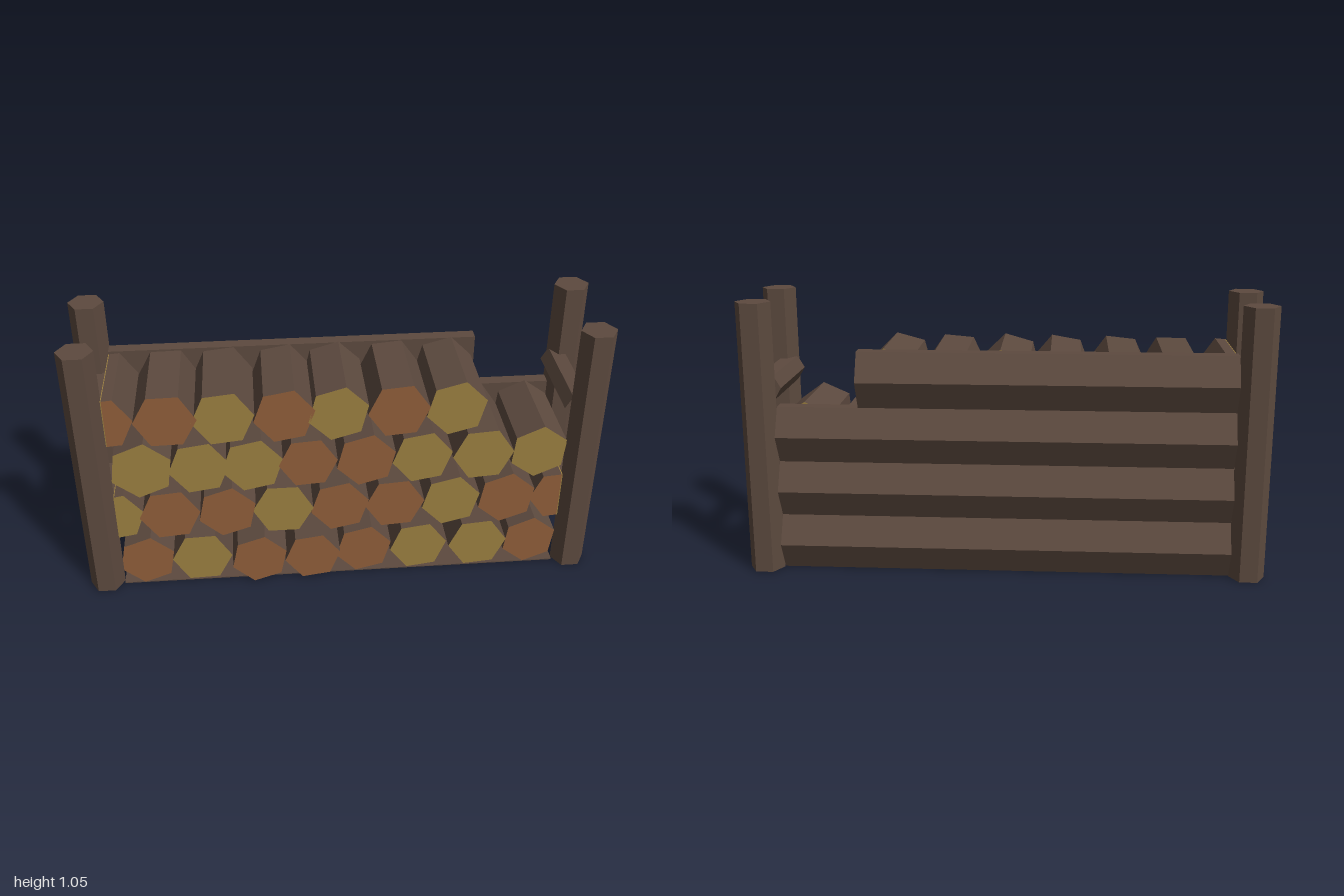
import * as THREE from 'three';

const mat = (name, color) => Object.assign(new THREE.MeshStandardMaterial({ color, flatShading: true }), { name });
const LIMIT = 0.862; // half width of the stack between the posts
const BACK = -0.135, FRONT = 0.21;

// Keeps the part of a polygon where sign * p[axis] <= limit
function clip(points, axis, sign, limit) {
  const out = [];
  points.forEach((a, i) => {
    const b = points[(i + 1) % points.length];
    const da = limit - sign * a[axis], db = limit - sign * b[axis];
    if (da >= 0) out.push(a);
    if (da * db < 0) out.push(a.clone().lerp(b, da / (da - db)));
  });
  return out;
}

export function createModel() {
  const bark = mat('bark', 0x5d4a3f);
  const brown = mat('brownWood', 0x905f3a);
  const yellow = mat('yellowWood', 0x9c8040);
  const group = new THREE.Group();
  const add = (name, geometry, material, x = 0, y = 0, z = 0, parent = group) => {
    const mesh = new THREE.Mesh(geometry, material);
    mesh.name = name;
    mesh.position.set(x, y, z);
    parent.add(mesh);
    return mesh;
  };

  // Hexagonal corner posts and the two rails on each side
  const postGeo = new THREE.CylinderGeometry(0.0675, 0.0675, 1.05, 6).rotateY(Math.PI / 2);
  const railGeo = new THREE.CylinderGeometry(0.055, 0.055, 0.38, 6).rotateY(Math.PI / 2).rotateX(Math.PI / 2);
  for (const s of [-1, 1]) {
    for (const t of [-1, 1]) add('post', postGeo, bark, s * 0.9325, 0.525, t * 0.191);
    for (const y of [0.303, 0.722]) add('rail', railGeo, bark, s * 0.899, y, 0);
  }

  // Long logs forming the back wall; the top one is shorter
  const wall = new THREE.Shape([[BACK, 0], [BACK, 0.216], [-0.185, 0.216], [-0.24, 0.108], [-0.185, 0]]
    .map(([z, y]) => new THREE.Vector2(z, y)));
  for (let i = 0; i < 4; i++) {
    const end = i === 3 ? 0.555 : 0.865;
    const geo = new THREE.ExtrudeGeometry(wall, { depth: end + 0.865, bevelEnabled: false }).rotateY(-Math.PI / 2);
    add('backLog', geo, bark, end, i * 0.216, 0);
  }

  // Floor closing the underside of the stack
  add('floor', new THREE.BoxGeometry(1.73, 0.004, 0.395), bark, 0, 0.002, 0.0125);

  // Stacked logs: centre x, turn in degrees, radius, end colour, forward shift
  const rows = [
    { y: 0.112, logs: [
      [-0.765, 20, 0.112, 'b'], [-0.55, 2, 0.118, 'y'], [-0.325, 18, 0.112, 'b', 0.03], [-0.115, 8, 0.11, 'b', 0.03],
      [0.09, 14, 0.112, 'b'], [0.31, 8, 0.114, 'y'], [0.55, 5, 0.117, 'y'], [0.76, 22, 0.11, 'b']] },
    { y: 0.33, logs: [
      [-0.865, 10, 0.11, 'y'], [-0.66, 5, 0.117, 'b'], [-0.44, 18, 0.115, 'b'], [-0.225, 0, 0.118, 'y'],
      [-0.005, 12, 0.115, 'b'], [0.21, 4, 0.116, 'b'], [0.43, 14, 0.116, 'y'], [0.65, 20, 0.116, 'b'], [0.855, 5, 0.113, 'b']] },
    { y: 0.542, logs: [
      [-0.75, 22, 0.122, 'y'], [-0.535, 8, 0.117, 'y'], [-0.335, 12, 0.118, 'y'], [-0.125, 4, 0.112, 'b'],
      [0.095, 16, 0.116, 'b'], [0.31, 10, 0.116, 'y'], [0.545, 4, 0.118, 'y'], [0.76, 24, 0.114, 'y']] },
    { y: 0.755, logs: [
      [-0.87, 5, 0.112, 'b'], [-0.645, 1, 0.117, 'b'], [-0.435, 6, 0.117, 'y'], [-0.21, 10, 0.116, 'b'],
      [-0.01, 16, 0.116, 'y'], [0.215, 5, 0.117, 'b'], [0.43, 15, 0.116, 'y']] },
  ];
  for (const { y, logs } of rows) {
    for (const [x, turn, r, tone, shift = 0] of logs) {
      let points = Array.from({ length: 6 }, (_, i) => {
        const a = THREE.MathUtils.degToRad(turn + i * 60);
        return new THREE.Vector2(x + r * Math.cos(a), y + r * Math.sin(a));
      });
      points = clip(points, 'y', -1, 0);
      points = clip(points, 'x', 1, LIMIT);
      points = clip(points, 'x', -1, LIMIT);
      const depth = FRONT + shift - BACK;
      const log = new THREE.Group();
      log.name = 'log';
      group.add(log);
      const geo = new THREE.ExtrudeGeometry(new THREE.Shape(points), { depth, bevelEnabled: false });
      add('logBody', geo, [tone === 'y' ? yellow : brown, bark], 0, 0, BACK, log);

      // Bare wood plate where a log is sawn through beside the posts
      if (Math.abs(x) > 0.8) {
        const ys = points.filter(p => Math.abs(p.x) > LIMIT - 0.001).map(p => p.y);
        const low = Math.min(...ys), high = Math.max(...ys);
        add('sawnSide', new THREE.BoxGeometry(0.004, high - low, depth), yellow,
          Math.sign(x) * (LIMIT + 0.001), (low + high) / 2, BACK + depth / 2, log);
      }
    }
  }
  return group;
}
